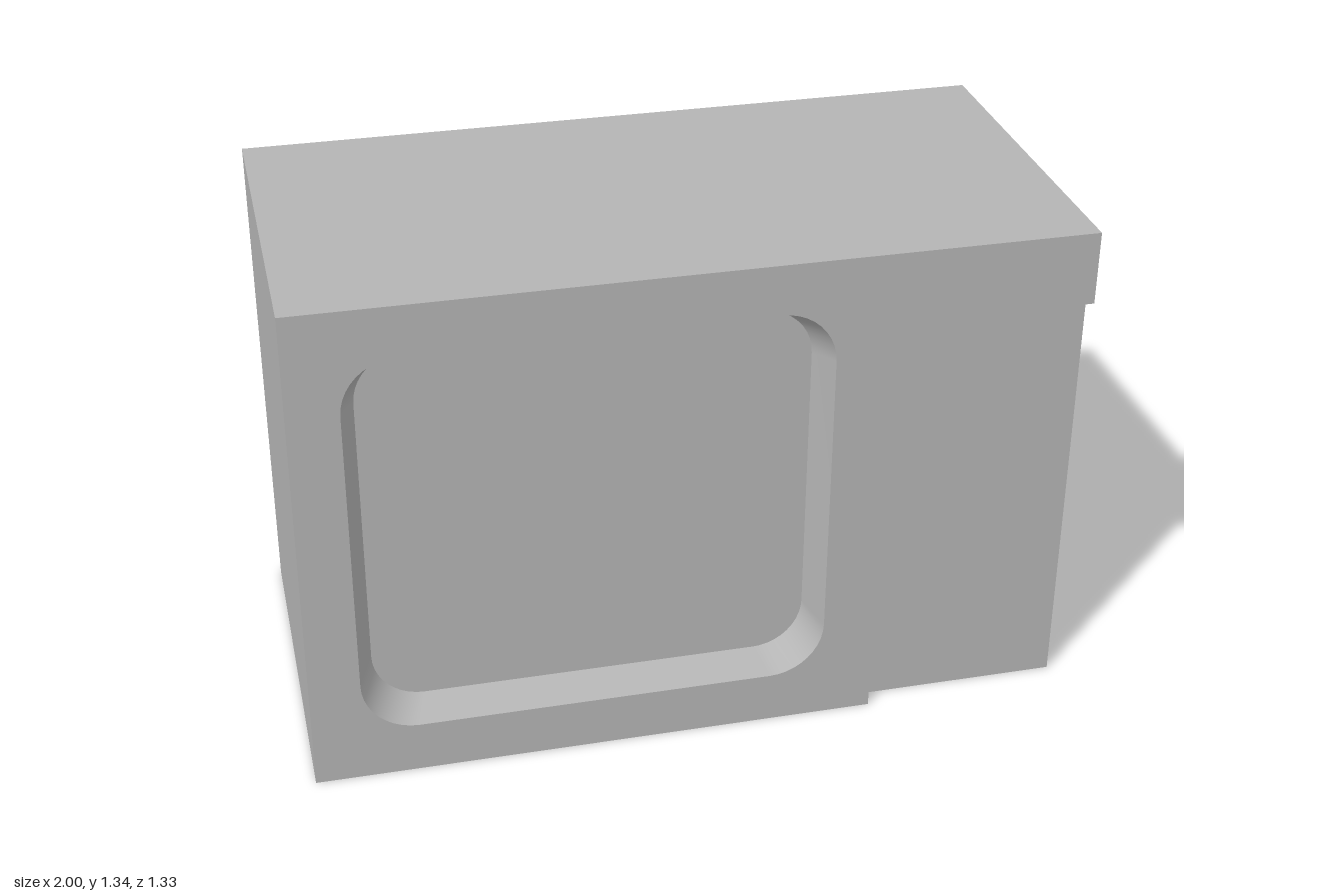
import * as THREE from 'three';

const H = 1.335, FRONT = 0.667, BACK = -0.32, SCREEN_Z = 0.573, PANEL_Z = 0.618;

// Counter-clockwise rounded rectangle outline
function roundedRect(x0, x1, y0, y1, r, steps = 10) {
  const corners = [[x0 + r, y0 + r, Math.PI], [x1 - r, y0 + r, Math.PI * 1.5], [x1 - r, y1 - r, 0], [x0 + r, y1 - r, Math.PI / 2]];
  const pts = [];
  for (const [cx, cy, start] of corners) {
    for (let i = 0; i <= steps; i++) {
      const a = start + (i / steps) * Math.PI / 2;
      pts.push(new THREE.Vector2(cx + r * Math.cos(a), cy + r * Math.sin(a)));
    }
  }
  return pts;
}

// Sloping wall between a front outline and a smaller rear outline, facing inward
function loftWall(outer, inner, zFront, zBack) {
  const n = outer.length, pos = [], idx = [];
  outer.forEach(p => pos.push(p.x, p.y, zFront));
  inner.forEach(p => pos.push(p.x, p.y, zBack));
  for (let i = 0; i < n; i++) {
    const j = (i + 1) % n;
    idx.push(i, j, n + j, i, n + j, n + i);
  }
  const g = new THREE.BufferGeometry();
  g.setAttribute('position', new THREE.Float32BufferAttribute(pos, 3));
  g.setIndex(idx);
  g.computeVertexNormals();
  return g;
}

function boxBetween(x0, x1, y0, y1, z0, z1) {
  return new THREE.BoxGeometry(x1 - x0, y1 - y0, z1 - z0).translate((x0 + x1) / 2, (y0 + y1) / 2, (z0 + z1) / 2);
}

const shapeOf = pts => new THREE.Shape(pts.map(([x, y]) => new THREE.Vector2(x, y)));

export function createModel() {
  const model = new THREE.Group();
  model.name = 'television';
  const grey = new THREE.MeshStandardMaterial({ color: 0xb4b4b4 });
  grey.name = 'grey';
  const add = (name, geometry) => {
    const mesh = new THREE.Mesh(geometry, grey);
    mesh.name = name;
    model.add(mesh);
  };

  // Main cabinet; its front doubles as the flat screen
  add('cabinet', boxBetween(-1, 1, 0, H, BACK, SCREEN_Z));

  // Front frame with the screen opening and a step for the control panel
  const outer = roundedRect(-0.87, 0.338, 0.138, 1.202, 0.143);
  const inner = roundedRect(-0.83, 0.304, 0.17, 1.169, 0.13);
  const frame = shapeOf([[-1, 0], [0.472, 0], [0.472, 1.142], [1, 1.142], [1, H], [-1, H]]);
  frame.holes.push(new THREE.Path(outer.slice().reverse()));
  add('frontFrame', new THREE.ExtrudeGeometry(frame, { depth: FRONT - SCREEN_Z, bevelEnabled: false }).translate(0, 0, SCREEN_Z));

  // Sloping rim around the screen
  add('screenBezel', loftWall(outer, inner, FRONT, SCREEN_Z));

  // Sunken control panel
  add('controlPanel', boxBetween(0.472, 1, 0, 1.142, SCREEN_Z, PANEL_Z));

  // Tapered rear housing
  const housing = shapeOf([[-0.725, -BACK], [0.725, -BACK], [0.632, 0.568], [-0.632, 0.568]]);
  add('rearHousing', new THREE.ExtrudeGeometry(housing, { depth: 0.955, bevelEnabled: false }).rotateX(-Math.PI / 2).translate(0, 0.19, 0));

  // Block at the very back, flush with the housing top
  add('tubeCover', boxBetween(-0.24, 0.24, 0.538, 1.145, -0.667, -0.568));

  return model;
}
